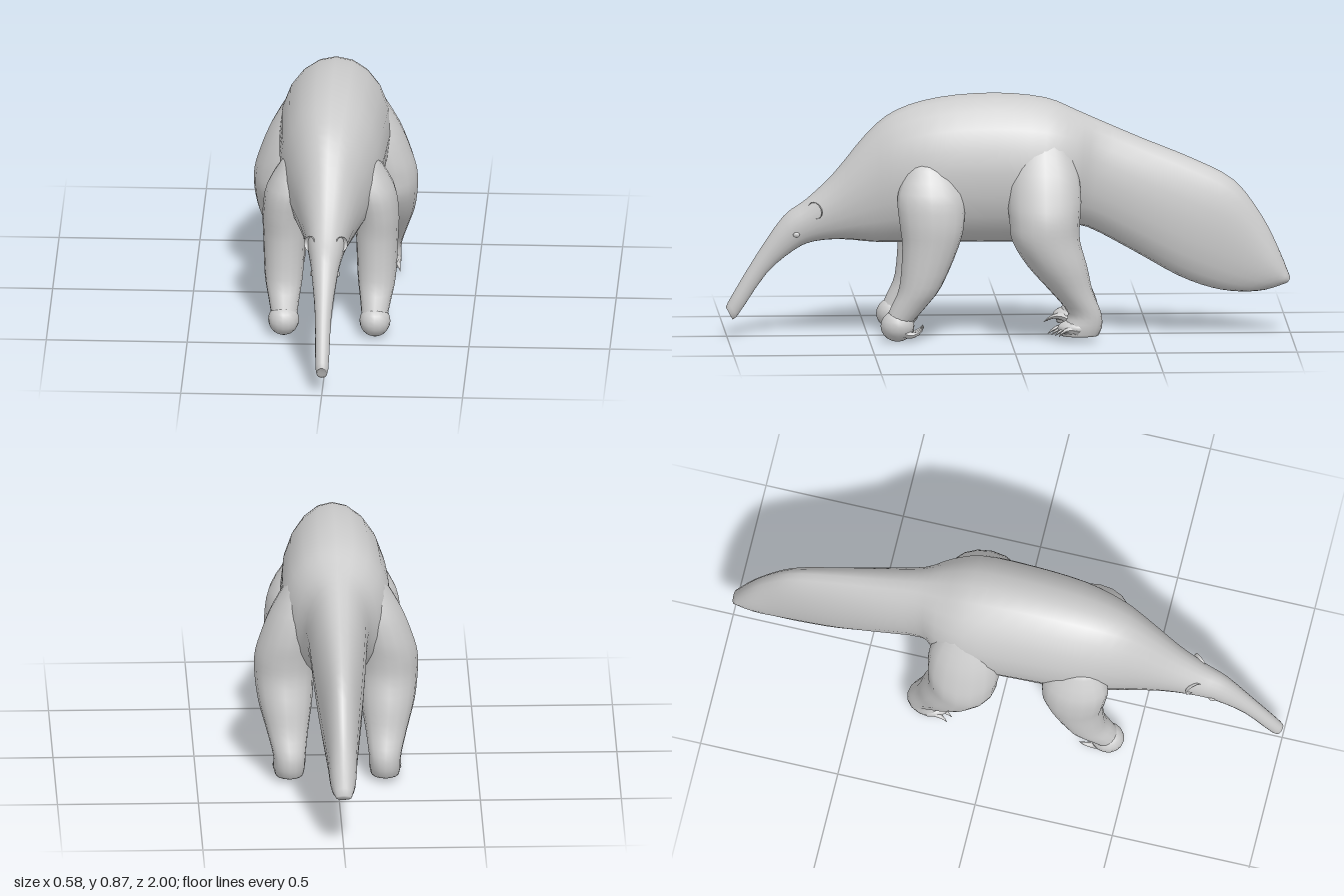
import * as THREE from 'three';

const material = new THREE.MeshStandardMaterial({ color: 0xcccccc, side: THREE.DoubleSide });

// Catmull-Rom smoothing between rows of numbers
function smoothRows(rows, steps) {
  const out = [];
  const at = (i) => rows[Math.min(Math.max(i, 0), rows.length - 1)];
  for (let i = 0; i < rows.length - 1; i++) {
    for (let k = 0; k < steps; k++) {
      const t = k / steps;
      out.push(at(i).map((b, n) => {
        const a = at(i - 1)[n], c = at(i + 1)[n], d = at(i + 2)[n];
        return b + 0.5 * t * (c - a + t * (2 * a - 5 * b + 4 * c - d + t * (3 * (b - c) + d - a)));
      }));
    }
  }
  out.push(rows[rows.length - 1]);
  return out;
}

// Closed skin over rings of points, with a fan cap at each end
function loft(rings) {
  const n = rings[0].length, pos = [], index = [];
  rings.forEach((ring) => ring.forEach((p) => pos.push(...p)));
  for (let i = 0; i < rings.length - 1; i++) {
    for (let j = 0; j < n; j++) {
      const a = i * n + j, b = i * n + (j + 1) % n;
      index.push(a, b, a + n, b, b + n, a + n);
    }
  }
  [0, rings.length - 1].forEach((r) => {
    const centre = pos.length / 3;
    pos.push(...[0, 1, 2].map((k) => rings[r].reduce((sum, p) => sum + p[k], 0) / n));
    for (let j = 0; j < n; j++) {
      const a = r * n + j, b = r * n + (j + 1) % n;
      index.push(centre, ...(r === 0 ? [b, a] : [a, b]));
    }
  });
  const geometry = new THREE.BufferGeometry();
  geometry.setAttribute('position', new THREE.Float32BufferAttribute(pos, 3));
  geometry.setIndex(index);
  geometry.computeVertexNormals();
  return geometry;
}

function mesh(name, geometry, parent) {
  const m = new THREE.Mesh(geometry, material);
  m.name = name;
  parent.add(m);
  return m;
}

// Slanted oval sections from snout to tail: top z, top y, bottom z, bottom y, half width
const trunk = [
  [1.0, 0.105, 0.985, 0.075, 0.012],
  [0.995, 0.125, 0.965, 0.072, 0.023],
  [0.9, 0.285, 0.86, 0.225, 0.029],
  [0.8, 0.43, 0.76, 0.31, 0.045],
  [0.72, 0.49, 0.69, 0.34, 0.057],
  [0.62, 0.585, 0.59, 0.347, 0.078],
  [0.5, 0.73, 0.48, 0.337, 0.113],
  [0.4, 0.808, 0.38, 0.335, 0.148],
  [0.25, 0.853, 0.25, 0.335, 0.18],
  [0.05, 0.868, 0.05, 0.335, 0.193],
  [-0.13, 0.85, -0.12, 0.34, 0.195],
  [-0.24, 0.805, -0.22, 0.38, 0.16],
  [-0.33, 0.765, -0.28, 0.385, 0.112],
  [-0.48, 0.70, -0.45, 0.295, 0.095],
  [-0.65, 0.63, -0.6, 0.21, 0.08],
  [-0.8, 0.55, -0.72, 0.165, 0.065],
  [-0.9, 0.42, -0.82, 0.15, 0.053],
  [-0.96, 0.30, -0.91, 0.155, 0.045],
  [-1.0, 0.2, -0.985, 0.18, 0.028],
];

function trunkGeometry() {
  const sides = 20;
  return loft(smoothRows(trunk, 3).map(([tz, ty, bz, by, w]) =>
    Array.from({ length: sides }, (_, j) => {
      const t = (j / sides) * Math.PI * 2, v = (1 + Math.cos(t)) / 2, s = Math.sin(t);
      // lower half is a little fuller than the back
      const x = w * Math.sign(s) * Math.abs(s) ** (v < 0.5 ? 0.85 : 1);
      return [x, by + (ty - by) * v, bz + (tz - bz) * v];
    })));
}

// Leg rings from top to bottom: y, centre z, half depth, centre x, half width
const frontLeg = [
  [0.64, 0.29, 0.06, 0.12, 0.04],
  [0.53, 0.285, 0.115, 0.15, 0.075],
  [0.43, 0.28, 0.115, 0.165, 0.077],
  [0.34, 0.285, 0.1, 0.165, 0.075],
  [0.2, 0.32, 0.075, 0.165, 0.068],
  [0.13, 0.36, 0.063, 0.163, 0.056],
  [0.07, 0.4, 0.05, 0.16, 0.045],
];
const hindLeg = [
  [0.72, -0.12, 0.08, 0.11, 0.05],
  [0.6, -0.12, 0.12, 0.145, 0.085],
  [0.5, -0.12, 0.13, 0.17, 0.1],
  [0.43, -0.12, 0.125, 0.182, 0.107],
  [0.36, -0.125, 0.12, 0.185, 0.105],
  [0.27, -0.165, 0.105, 0.182, 0.096],
  [0.18, -0.215, 0.075, 0.176, 0.075],
  [0.1, -0.262, 0.059, 0.17, 0.058],
  [0.05, -0.25, 0.073, 0.17, 0.056],
  [0.02, -0.245, 0.065, 0.17, 0.05],
];

function legGeometry(rows, side) {
  const sides = 16;
  return loft(smoothRows(rows, 3).map(([y, cz, rz, cx, rx]) =>
    Array.from({ length: sides }, (_, j) => {
      const t = (j / sides) * Math.PI * 2;
      return [side * cx + rx * Math.cos(t), y, cz + rz * Math.sin(t)];
    })));
}

function ball(name, parent, position, scale) {
  const m = mesh(name, new THREE.SphereGeometry(1, 16, 10), parent);
  m.position.set(...position);
  m.scale.set(...scale);
  return m;
}

// Curved tapering claw through three points
function claw(parent, points, radius) {
  const curve = new THREE.QuadraticBezierCurve3(...points.map((p) => new THREE.Vector3(...p)));
  const segments = 5, sides = 6;
  const geometry = new THREE.TubeGeometry(curve, segments, radius, sides);
  const pos = geometry.attributes.position, p = new THREE.Vector3();
  for (let i = 0; i < pos.count; i++) {
    const u = Math.floor(i / (sides + 1)) / segments, c = curve.getPointAt(u);
    p.fromBufferAttribute(pos, i).sub(c).multiplyScalar(1 - 0.95 * u).add(c);
    pos.setXYZ(i, p.x, p.y, p.z);
  }
  geometry.computeVertexNormals();
  mesh('claw', geometry, parent);
}

export function createModel() {
  const model = new THREE.Group();
  model.name = 'anteater';
  mesh('bodyAndTail', trunkGeometry(), model);

  for (const side of [1, -1]) {
    const label = side > 0 ? 'left' : 'right';

    // Front leg walking on its knuckles, claws curled back
    const front = new THREE.Group();
    front.name = label + 'FrontLeg';
    mesh('foreleg', legGeometry(frontLeg, side), front);
    ball('knuckle', front, [side * 0.162, 0.058, 0.402], [0.055, 0.056, 0.06]);
    [0.128, 0.158, 0.188].forEach((x) => claw(front, [
      [side * x, 0.035, 0.38], [side * (x + 0.006), 0.012, 0.335], [side * (x + 0.014), 0.06, 0.31],
    ], 0.018));

    // Hind leg standing flat, claws forward
    const hind = new THREE.Group();
    hind.name = label + 'HindLeg';
    mesh('thighAndShin', legGeometry(hindLeg, side), hind);
    ball('foot', hind, [side * 0.172, 0.048, -0.235], [0.056, 0.032, 0.07]);
    [0.132, 0.16, 0.188, 0.21].forEach((x, i) => claw(hind, [
      [side * x, 0.04, -0.215 - 0.008 * i], [side * (x + 0.006), 0.06, -0.17 - 0.008 * i],
      [side * (x + 0.016), 0.024, -0.132 - 0.012 * i],
    ], 0.018));

    // Cupped ear opening forward and outward
    const ear = mesh(label + 'Ear', new THREE.SphereGeometry(1, 14, 6, 0, Math.PI * 2, 0, Math.PI / 2), model);
    ear.position.set(side * 0.058, 0.458, 0.69);
    ear.scale.set(0.026, 0.022, 0.033);
    ear.quaternion.setFromUnitVectors(
      new THREE.Vector3(0, 1, 0), new THREE.Vector3(-side * 0.75, 0, -0.66).normalize());

    ball(label + 'Eye', model, [side * 0.047, 0.37, 0.755], [0.006, 0.009, 0.012]);
    model.add(front, hind);
  }
  return model;
}
